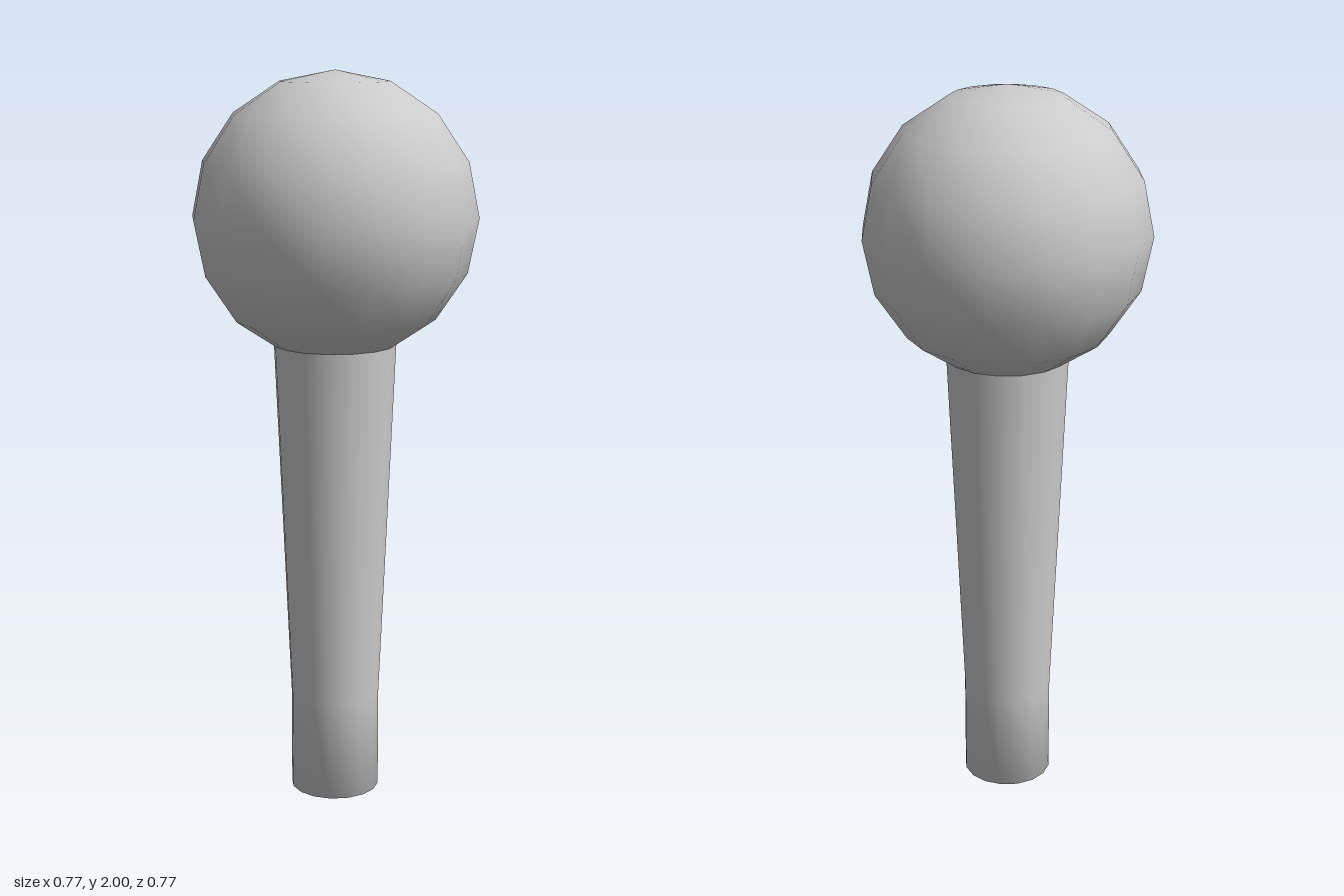
import * as THREE from 'three';

const SIDES = 16;

export function createModel() {
  const model = new THREE.Group();
  const material = new THREE.MeshStandardMaterial({ color: 0xcccccc });

  const add = (name, geometry, y = 0) => {
    const mesh = new THREE.Mesh(geometry, material);
    mesh.name = name;
    mesh.position.y = y;
    model.add(mesh);
  };

  // Handle: closed foot, straight grip, then a gentle flare into the ball
  const profile = [[0, 0], [0.123, 0], [0.123, 0.275], [0.167, 1.28]]
    .map(([r, y]) => new THREE.Vector2(r, y));
  add('handle', new THREE.LatheGeometry(profile, SIDES));

  // Ball head resting on the handle
  add('ballHead', new THREE.SphereGeometry(0.385, SIDES, SIDES / 2), 1.615);

  return model;
}
